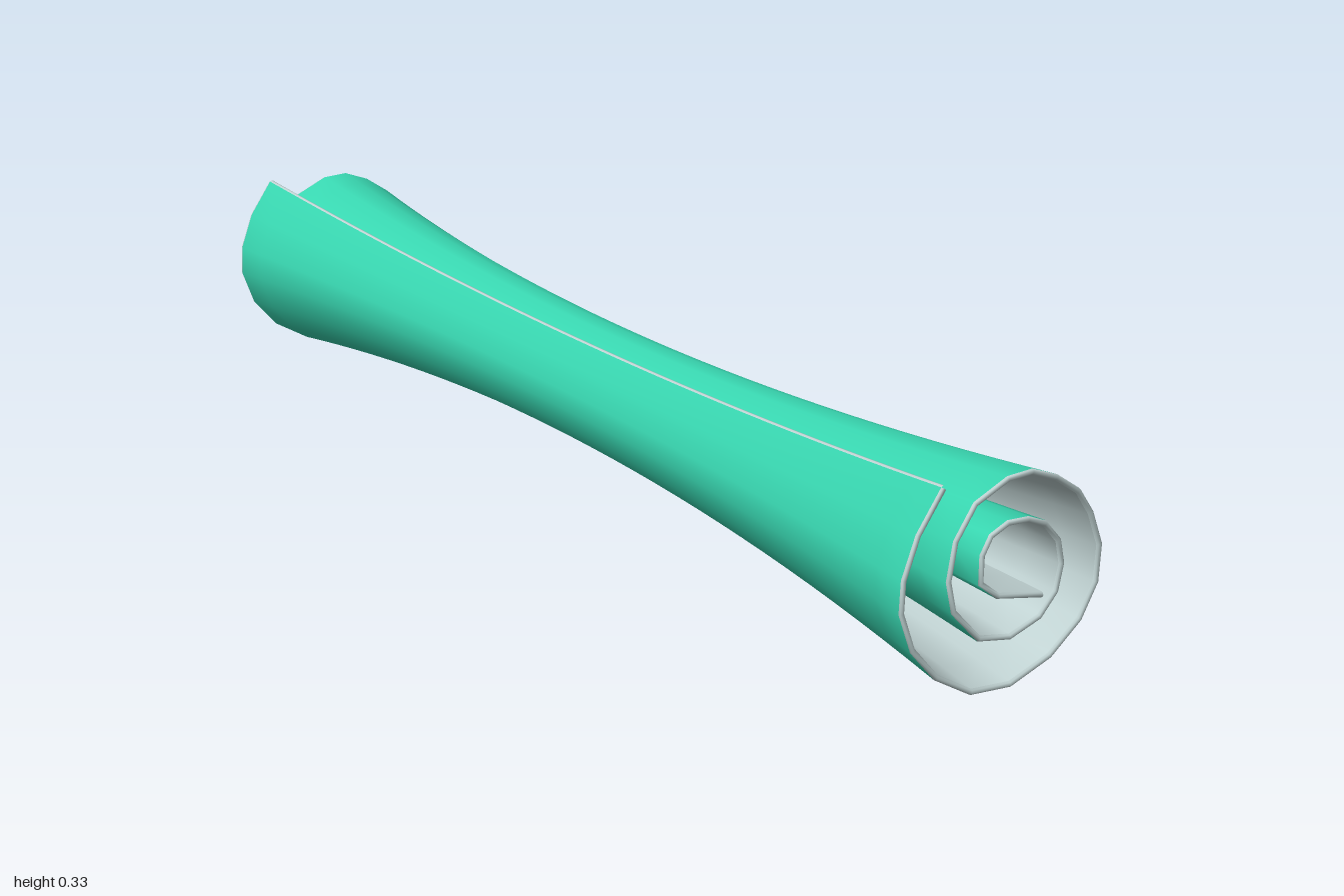
import * as THREE from 'three';

// Spiral cross-section of the sheet's outer face at its flared ends, from the free edge inwards
const SPIRAL = [
  [-0.119, 0.332], [-0.161, 0.272], [-0.184, 0.21], [-0.186, 0.16], [-0.163, 0.098], [-0.118, 0.046],
  [-0.052, 0.007], [0.022, 0.001], [0.097, 0.028], [0.152, 0.073], [0.181, 0.126], [0.184, 0.185],
  [0.163, 0.239], [0.136, 0.278], [0.092, 0.308], [0.045, 0.326], [-0.001, 0.324], [-0.06, 0.298],
  [-0.094, 0.248], [-0.104, 0.189], [-0.092, 0.139], [-0.042, 0.086], [0.017, 0.075], [0.074, 0.094],
  [0.104, 0.128], [0.113, 0.171], [0.104, 0.21], [0.076, 0.242], [0.042, 0.256], [0.003, 0.258],
  [-0.029, 0.244], [-0.045, 0.216], [-0.045, 0.171], [-0.01, 0.143], [0.073, 0.126],
].map(([x, y]) => new THREE.Vector2(x, y));

const LAST = SPIRAL.length - 1;
const CENTER_Y = 0.18;
const THICK = 0.009;
const R = THICK / 2;
const Z_END = 1 - R;
const Z_STEPS = 32;
const ARC_STEPS = 4;

// Unit directions along the spiral at each point
const TANGENTS = SPIRAL.map((p, i) => {
  const before = SPIRAL[Math.max(i - 1, 0)];
  const after = SPIRAL[Math.min(i + 1, LAST)];
  const a = p.clone().sub(before).normalize();
  const b = after.clone().sub(p).normalize();
  return a.add(b).normalize();
});

// The roll narrows to a waist halfway along its length
const waist = (z) => 0.61 + 0.39 * z * z;

// Point on the sheet: inset goes into the thickness, extend goes along the spiral
function sheetPoint(i, inset, z, extend = 0) {
  const p = SPIRAL[i], t = TANGENTS[i], s = waist(z);
  return [
    p.x * s - t.y * inset + t.x * extend,
    CENTER_Y + (p.y - CENTER_Y) * s + t.x * inset + t.y * extend,
    z,
  ];
}

// Smooth surface over a grid of points
function surface(name, rows, cols, point, material) {
  const positions = [], index = [];
  for (let i = 0; i <= rows; i++) {
    for (let j = 0; j <= cols; j++) positions.push(...point(i, j));
  }
  for (let i = 0; i < rows; i++) {
    for (let j = 0; j < cols; j++) {
      const a = i * (cols + 1) + j, b = a + cols + 1;
      index.push(a, b, b + 1, a, b + 1, a + 1);
    }
  }
  const geometry = new THREE.BufferGeometry();
  geometry.setAttribute('position', new THREE.Float32BufferAttribute(positions, 3));
  geometry.setIndex(index);
  geometry.computeVertexNormals();
  const mesh = new THREE.Mesh(geometry, material);
  mesh.name = name;
  return mesh;
}

export function createModel() {
  const green = new THREE.MeshStandardMaterial({ color: 0x38d6b0 });
  green.name = 'green outside';
  const grey = new THREE.MeshStandardMaterial({ color: 0xc0d2d2 });
  grey.name = 'pale grey inside';

  const along = (j) => Z_END * (2 * j / Z_STEPS - 1);
  const arc = (k) => {
    const a = Math.PI * k / ARC_STEPS;
    return { inset: R * (1 - Math.cos(a)), bulge: R * Math.sin(a) };
  };

  const roll = new THREE.Group();
  roll.name = 'rolledSheet';

  // Two faces of the sheet
  roll.add(surface('outerFace', LAST, Z_STEPS, (i, j) => sheetPoint(i, 0, along(j)), green));
  roll.add(surface('innerFace', LAST, Z_STEPS, (i, j) => sheetPoint(i, THICK, -along(j)), grey));

  // Rounded spiral rims at the front and back
  roll.add(surface('frontRim', LAST, ARC_STEPS, (i, k) => {
    const { inset, bulge } = arc(k);
    return sheetPoint(i, inset, Z_END + bulge);
  }, grey));
  roll.add(surface('backRim', LAST, ARC_STEPS, (i, k) => {
    const { inset, bulge } = arc(ARC_STEPS - k);
    return sheetPoint(i, inset, -Z_END - bulge);
  }, grey));

  // Rounded long edges where the sheet begins and ends
  roll.add(surface('outerLongEdge', Z_STEPS, ARC_STEPS, (j, k) => {
    const { inset, bulge } = arc(k);
    return sheetPoint(0, inset, along(j), -bulge);
  }, grey));
  roll.add(surface('innerLongEdge', Z_STEPS, ARC_STEPS, (j, k) => {
    const { inset, bulge } = arc(k);
    return sheetPoint(LAST, inset, -along(j), bulge);
  }, grey));

  const model = new THREE.Group();
  model.name = 'rolledScroll';
  model.add(roll);
  return model;
}
